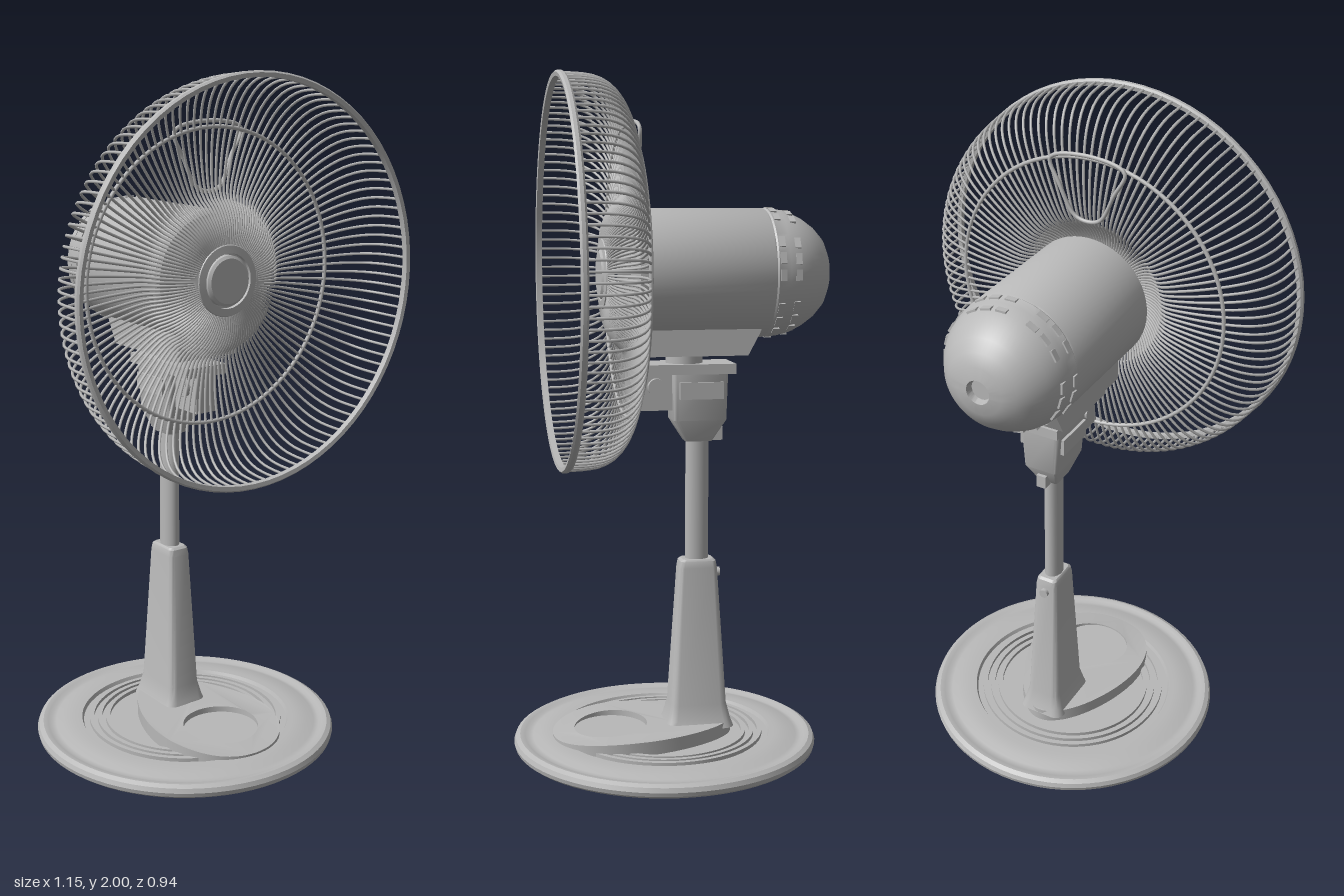
import * as THREE from 'three';
import { mergeGeometries, toCreasedNormals } from 'three/addons/utils/BufferGeometryUtils.js';

const HEAD_Y = 1.43, POST_Z = -0.085;

export function createModel() {
  const root = new THREE.Group();
  const grey = new THREE.MeshStandardMaterial({ color: 0xb8b8b8 });

  const add = (name, geo, parent = root, x = 0, y = 0, z = 0) => {
    const mesh = new THREE.Mesh(geo, grey);
    mesh.name = name;
    mesh.position.set(x, y, z);
    parent.add(mesh);
    return mesh;
  };
  const lathe = (pts, sides = 64) => toCreasedNormals(
    new THREE.LatheGeometry(pts.map(p => new THREE.Vector2(...p)), sides), 0.6);
  const box = (name, w, h, d, x, y, z, parent = root) =>
    add(name, new THREE.BoxGeometry(w, h, d), parent, x, y, z);

  // Rounded rectangular sections [y, halfX, halfZ, centreZ] joined bottom to top
  const loft = (sections, corner = 0.4) => {
    const steps = 4, n = 4 * (steps + 1), pos = [], idx = [];
    for (const [y, hx, hz, cz] of sections) {
      const r = Math.min(hx, hz) * corner;
      for (let q = 0; q < 4; q++) for (let s = 0; s <= steps; s++) {
        const a = (q + s / steps) * Math.PI / 2;
        const sx = q === 0 || q === 3 ? 1 : -1, sz = q < 2 ? 1 : -1;
        pos.push(sx * (hx - r) + r * Math.cos(a), y, cz + sz * (hz - r) + r * Math.sin(a));
      }
    }
    for (let i = 0; i < sections.length - 1; i++) for (let j = 0; j < n; j++) {
      const a = i * n + j, b = i * n + (j + 1) % n;
      idx.push(a, a + n, b, b, a + n, b + n);
    }
    const top = (sections.length - 1) * n;
    for (let j = 1; j < n - 1; j++) idx.push(0, j, j + 1, top, top + j + 1, top + j);
    const g = new THREE.BufferGeometry();
    g.setAttribute('position', new THREE.Float32BufferAttribute(pos, 3));
    g.setIndex(idx);
    return toCreasedNormals(g, 0.6);
  };

  // Round base with a rolled rim and concentric ridges
  const base = new THREE.Group();
  base.name = 'base';
  root.add(base);
  add('baseDisc', lathe([
    [0, 0], [0.445, 0], [0.455, 0.008], [0.458, 0.02], [0.453, 0.033], [0.44, 0.04],
    [0.425, 0.038], [0.415, 0.033], [0.4, 0.035], [0.38, 0.042], [0.34, 0.045],
    [0.32, 0.045], [0.315, 0.034], [0.3, 0.034], [0, 0.034],
  ], 72), base, -0.012, 0, 0.012);
  for (const r of [0.24, 0.265, 0.29]) {
    add('baseRidge', lathe([[r + 0.007, 0.03], [r + 0.007, 0.045],
      [r - 0.007, 0.045], [r - 0.007, 0.03]]), base, -0.012, 0, 0.012);
  }

  // Egg-shaped foot plate, sloping to the front, with a sunken dial
  const egg = new THREE.Shape();
  egg.moveTo(0, 0.355);
  egg.bezierCurveTo(0.13, 0.355, 0.195, 0.24, 0.19, 0.13);
  egg.bezierCurveTo(0.185, 0, 0.09, -0.19, 0, -0.19);
  egg.bezierCurveTo(-0.09, -0.19, -0.185, 0, -0.19, 0.13);
  egg.bezierCurveTo(-0.195, 0.24, -0.13, 0.355, 0, 0.355);
  const hole = new THREE.Path();
  hole.absellipse(0, 0.18, 0.115, 0.11, 0, Math.PI * 2);
  egg.holes.push(hole);
  const plate = new THREE.ExtrudeGeometry(egg, { depth: 0.05, bevelEnabled: false, curveSegments: 20 });
  plate.rotateX(Math.PI / 2).translate(0, 0.075, 0);
  const pp = plate.attributes.position;
  for (let i = 0; i < pp.count; i++) {
    if (pp.getY(i) > 0.05) pp.setY(i, 0.075 - 0.025 * Math.max(0, (pp.getZ(i) - 0.1) / 0.26) ** 2);
  }
  add('footPlate', toCreasedNormals(plate, 0.5), base);
  add('footDial', new THREE.CylinderGeometry(0.118, 0.118, 0.03, 48), base, 0, 0.042, 0.18);

  // Tapered column, sliding post and height knob
  add('column', loft([
    [0.06, 0.075, 0.105, POST_Z], [0.085, 0.066, 0.096, POST_Z], [0.13, 0.054, 0.085, POST_Z],
    [0.55, 0.036, 0.058, POST_Z], [0.57, 0.033, 0.054, POST_Z], [0.576, 0.028, 0.046, POST_Z],
  ]));
  const post = new THREE.CylinderGeometry(0.026, 0.026, 0.42, 24);
  post.scale(1, 1, 1.35);
  add('post', post, root, 0, 0.76, POST_Z);
  const knob = new THREE.CylinderGeometry(0.014, 0.014, 0.02, 16).rotateX(Math.PI / 2);
  add('heightKnob', knob, root, 0, 0.53, -0.145);

  // Tilt joint
  const joint = new THREE.Group();
  joint.name = 'tiltJoint';
  root.add(joint);
  add('jointSocket', loft([
    [0.935, 0.032, 0.04, POST_Z], [1.0, 0.055, 0.08, POST_Z], [1.14, 0.065, 0.083, POST_Z],
  ], 0.25), joint);
  box('jointTop', 0.14, 0.03, 0.29, 0, 1.153, -0.043, joint);
  box('jointLug', 0.07, 0.11, 0.11, 0, 1.085, 0.045, joint);
  box('jointCatch', 0.03, 0.04, 0.03, 0, 0.955, -0.145, joint);
  for (const s of [-1, 1]) {
    const bolt = new THREE.CylinderGeometry(0.026, 0.026, 0.02, 20).rotateZ(Math.PI / 2);
    add('jointBolt', bolt, joint, s * 0.042, 1.1, 0.045);
    box('jointRib', 0.012, 0.05, 0.13, s * 0.066, 1.09, POST_Z, joint);
  }
  add('swivelPin', new THREE.CylinderGeometry(0.055, 0.055, 0.05, 24), joint, 0, 1.18, -0.045);

  // Cradle under the motor, sloped at the back
  const side = new THREE.Shape([[0.11, 1.195], [0.11, 1.31], [-0.27, 1.31], [-0.25, 1.26], [-0.215, 1.195]]
    .map(([z, y]) => new THREE.Vector2(-z, y)));
  const cradle = new THREE.ExtrudeGeometry(side, { depth: 0.21, bevelEnabled: false });
  cradle.translate(0, 0, -0.105).rotateY(Math.PI / 2);
  add('motorCradle', cradle);

  // Head: everything is centred on the fan axis, along z
  const head = new THREE.Group();
  head.name = 'head';
  head.position.y = HEAD_Y;
  root.add(head);
  const axial = (name, pts, sides) => add(name, lathe(pts, sides).rotateX(Math.PI / 2), head);
  const dome = [[0.19, -0.285], [0.186, -0.32], [0.177, -0.355], [0.16, -0.39],
    [0.135, -0.425], [0.105, -0.452], [0.07, -0.468], [0.035, -0.474]];
  axial('motorHousing', [[0, -0.455], [0.03, -0.455], ...dome.slice().reverse(),
    [0.187, -0.28], [0.19, -0.275], [0.19, 0.115], [0.18, 0.125], [0, 0.125]], 56);

  // Vent bars around the rear dome
  for (const [z, r] of [[-0.297, 0.188], [-0.345, 0.179]]) {
    for (let k = 0; k < 24; k++) {
      if (k % 4 === 3) continue;
      const a = k / 24 * Math.PI * 2;
      const vent = box('vent', 0.032, 0.008, 0.018, Math.cos(a) * r, Math.sin(a) * r, z, head);
      vent.rotation.z = a - Math.PI / 2;
    }
  }

  // Wire cage: one bent wire repeated around the axis
  const profile = [[0.08, 0.195], [0.15, 0.188], [0.195, 0.165], [0.235, 0.13], [0.32, 0.12],
    [0.42, 0.128], [0.49, 0.148], [0.535, 0.18], [0.558, 0.22], [0.566, 0.27], [0.567, 0.322]];
  const curve = new THREE.CatmullRomCurve3(profile.map(([r, z]) => new THREE.Vector3(r, 0, z)));
  const wire = new THREE.TubeGeometry(curve, 28, 0.0042, 5);
  const wires = [];
  for (let k = 0; k < 120; k++) wires.push(wire.clone().rotateZ(k / 120 * Math.PI * 2));
  add('cageWires', mergeGeometries(wires), head);
  axial('rimRing', [[0.558, 0.314], [0.57, 0.312], [0.575, 0.318], [0.575, 0.328],
    [0.57, 0.334], [0.558, 0.332], [0.558, 0.314]], 72);
  add('middleRing', new THREE.TorusGeometry(0.42, 0.006, 8, 72), head, 0, 0, 0.127);
  axial('hubRing', [[0.1, 0.185], [0.106, 0.19], [0.1, 0.2], [0.078, 0.203], [0.078, 0.19]], 32);
  axial('hubCap', [[0, 0.18], [0.072, 0.18], [0.072, 0.202], [0.064, 0.208], [0, 0.208]], 32);

  // Carrying loop behind the top of the cage
  const loop = new THREE.CatmullRomCurve3([[-0.035, 0.25, 0.108], [0.035, 0.25, 0.108],
    [0.085, 0.34, 0.102], [0.115, 0.41, 0.105], [0, 0.435, 0.108], [-0.115, 0.41, 0.105],
    [-0.085, 0.34, 0.102]].map(p => new THREE.Vector3(...p)), true);
  add('carryLoop', new THREE.TubeGeometry(loop, 60, 0.006, 8, true), head);

  return root;
}
